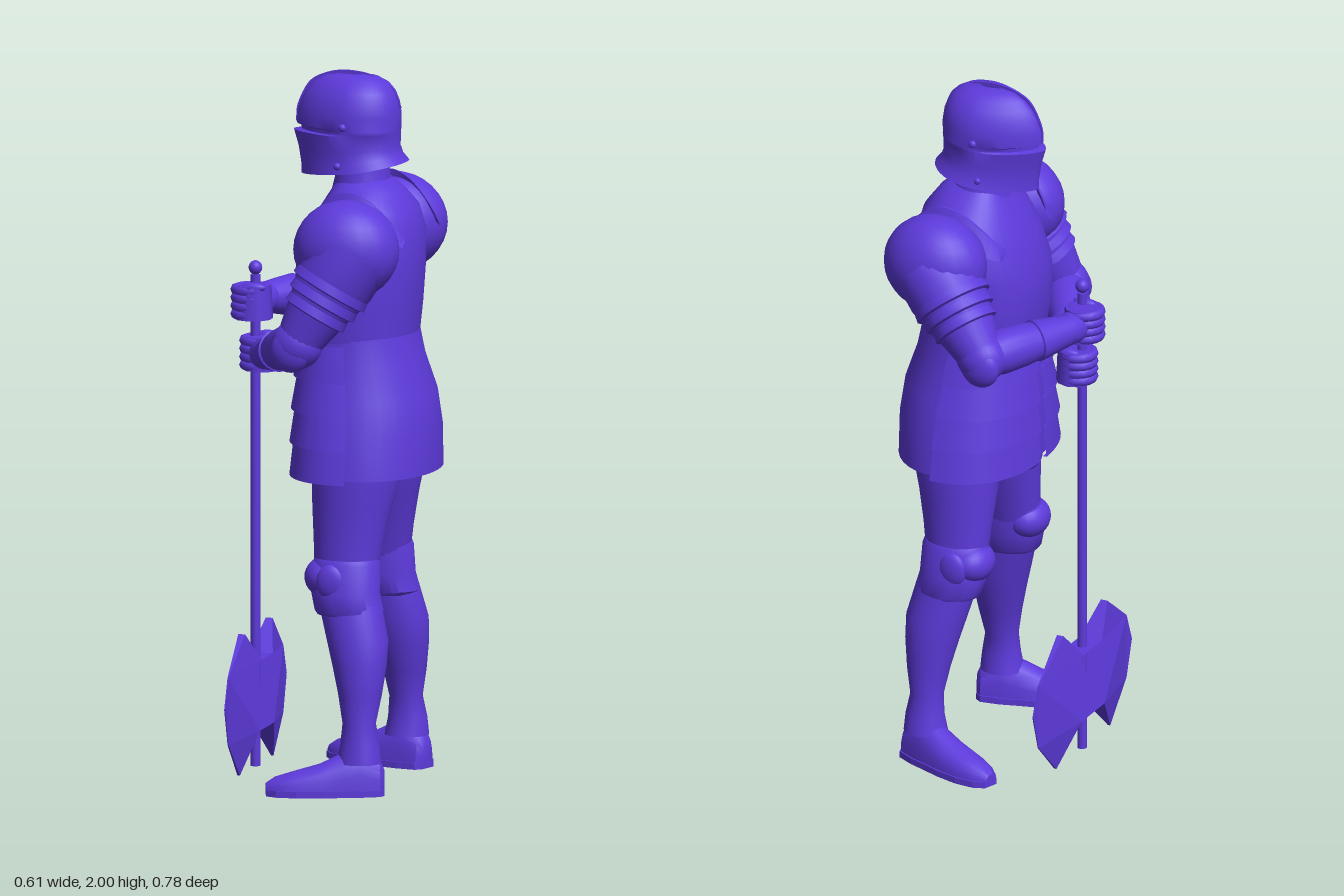
import * as THREE from 'three';
import { toCreasedNormals } from 'three/addons/utils/BufferGeometryUtils.js';

const V = (x, y, z) => new THREE.Vector3(x, y, z);

export function createModel() {
  const model = new THREE.Group();
  model.name = 'knight';
  const steel = new THREE.MeshStandardMaterial({ color: 0x5d3adb, side: THREE.DoubleSide });
  steel.name = 'violet steel';

  function add(name, geo, parent = model) {
    const m = new THREE.Mesh(geo, steel);
    m.name = name;
    parent.add(m);
    return m;
  }

  // Skin a list of rings (equal point counts), optionally closed and capped
  function loft(rings, { closed = true, cap = true, crease = 0.7 } = {}) {
    const n = rings[0].length, pos = [], idx = [];
    rings.forEach(r => r.forEach(p => pos.push(p.x, p.y, p.z)));
    for (let i = 0; i < rings.length - 1; i++) {
      for (let j = 0; j < (closed ? n : n - 1); j++) {
        const a = i * n + j, b = i * n + (j + 1) % n;
        idx.push(a, b, a + n, b, b + n, a + n);
      }
    }
    if (cap && closed) {
      [0, rings.length - 1].forEach((ri, end) => {
        const c = V(0, 0, 0);
        rings[ri].forEach(p => c.addScaledVector(p, 1 / n));
        const ci = pos.length / 3;
        pos.push(c.x, c.y, c.z);
        for (let j = 0; j < n; j++) {
          const a = ri * n + j, b = ri * n + (j + 1) % n;
          if (end) idx.push(a, b, ci); else idx.push(b, a, ci);
        }
      });
    }
    const g = new THREE.BufferGeometry();
    g.setAttribute('position', new THREE.Float32BufferAttribute(pos, 3));
    g.setIndex(idx);
    return toCreasedNormals(g, crease);
  }

  // Level ring from front x to back x with half width w; pw < 2 sharpens the front
  function ring([y, xf, xb, w, zc = 0, dip = 0], { pw = 2, mid = 0.5, a0 = 0, a1 = Math.PI * 2, n = 32, grow = 0 } = {}) {
    const full = a1 - a0 > 6.2, cx = xf + (xb - xf) * mid, pts = [];
    for (let j = 0; j < (full ? n : n + 1); j++) {
      const t = a0 + (a1 - a0) * j / n, c = Math.cos(t), s = Math.sin(t);
      const e = 2 / (c > 0 ? pw : 2.1);
      const u = Math.sign(c) * Math.abs(c) ** e, v = Math.sign(s) * Math.abs(s) ** e;
      const len = (c > 0 ? cx - xf : xb - cx) + grow;
      pts.push(V(cx - u * len, y + dip * (u - 1) / 2, zc + v * (w + grow)));
    }
    return pts;
  }
  const stack = (rows, o = {}, l = {}) => loft(rows.map(r => ring(r, o)), l);

  // Round limb along points [x, y, z, radius]
  function limb(pts, n = 20) {
    const P = pts.map(p => V(p[0], p[1], p[2]));
    return loft(P.map((p, i) => {
      const t = P[Math.min(i + 1, P.length - 1)].clone().sub(P[Math.max(i - 1, 0)]).normalize();
      const u = V(0, 1, 0.35).cross(t).normalize(), v = t.clone().cross(u);
      return Array.from({ length: n }, (_, j) => {
        const a = j / n * Math.PI * 2;
        return p.clone().addScaledVector(u, Math.cos(a) * pts[i][3]).addScaledVector(v, Math.sin(a) * pts[i][3]);
      });
    }));
  }

  function ball(name, c, r, parent = model) {
    const m = add(name, new THREE.SphereGeometry(1, 24, 16), parent);
    m.position.set(...c);
    m.scale.set(...r);
    return m;
  }

  // Torso and neck
  const round = { pw: 2.3, n: 40 };
  add('cuirass', stack([
    [1.26, -0.09, 0.235, 0.195, 0.01], [1.35, -0.105, 0.245, 0.2, 0.01], [1.45, -0.1, 0.252, 0.205, 0.01],
    [1.55, -0.07, 0.25, 0.2], [1.62, -0.035, 0.232, 0.17], [1.67, -0.005, 0.195, 0.11], [1.7, 0.01, 0.16, 0.075],
  ], round));
  add('gorget', stack([[1.64, -0.015, 0.17, 0.095], [1.7, 0, 0.155, 0.08], [1.76, 0, 0.15, 0.075]]));

  // Flared skirt, open below
  const skirtRows = [[0.885, -0.098, 0.3, 0.262, 0.015], [1.0, -0.1, 0.3, 0.248, 0.013], [1.1, -0.097, 0.286, 0.225, 0.01],
    [1.2, -0.09, 0.252, 0.2, 0.01], [1.275, -0.085, 0.236, 0.194, 0.01]];
  add('skirt', stack(skirtRows, round, { cap: false }));
  const skirtAt = y => {
    const i = Math.max(0, skirtRows.findIndex((r, k) => k < 4 && y <= skirtRows[k + 1][0]));
    const a = skirtRows[i], b = skirtRows[i + 1], f = (y - a[0]) / (b[0] - a[0]);
    return a.map((q, k) => q + (b[k] - q) * f);
  };
  // Overlapping tasset lames on both sides of the front
  for (const s of [-1, 1]) {
    for (let i = 0; i < 4; i++) {
      const y = 0.875 + i * 0.092;
      const arc = grow => ({ pw: 2.3, n: 18, a0: s > 0 ? 0.04 : -1.6, a1: s > 0 ? 1.6 : -0.04, grow });
      add('tassetLame', loft([ring(skirtAt(y), arc(0.001)), ring(skirtAt(y), arc(0.012)), ring(skirtAt(y + 0.1), arc(0.001))],
        { closed: false }));
    }
  }
  add('hips', stack([[0.84, 0.02, 0.17, 0.06, 0.02], [0.88, -0.02, 0.24, 0.15, 0.02], [0.96, -0.04, 0.25, 0.2, 0.015]]));
  ball('codpiece', [-0.055, 0.885, 0.015], [0.045, 0.05, 0.05]);

  // Helmet with pointed face, eye slit step and flared neck rim
  const helmet = new THREE.Group();
  helmet.name = 'helmet';
  model.add(helmet);
  add('helmetShell', stack([
    [1.705, -0.1, 0.207, 0.123, 0, -0.045], [1.73, -0.1, 0.19, 0.112, 0, -0.04], [1.78, -0.108, 0.183, 0.106, 0, -0.01],
    [1.828, -0.122, 0.184, 0.108], [1.832, -0.1, 0.184, 0.108], [1.842, -0.1, 0.185, 0.109], [1.846, -0.113, 0.185, 0.109],
    [1.88, -0.112, 0.186, 0.109], [1.915, -0.1, 0.181, 0.102], [1.945, -0.083, 0.17, 0.088], [1.968, -0.06, 0.152, 0.068],
    [1.985, -0.03, 0.122, 0.042], [1.991, 0.01, 0.08, 0.015],
  ], { pw: 1.55, mid: 0.58, n: 40 }, { cap: false }), helmet);
  const crest = new THREE.Shape();
  crest.moveTo(-0.115, 1.85);
  crest.splineThru([[-0.11, 1.9], [-0.075, 1.965], [-0.02, 1.993], [0.04, 2.0], [0.11, 1.988], [0.165, 1.955], [0.19, 1.9]]
    .map(p => new THREE.Vector2(...p)));
  crest.lineTo(0.1, 1.88);
  add('crest', new THREE.ExtrudeGeometry(crest, { depth: 0.006, bevelEnabled: false, curveSegments: 24 }).translate(0, 0, -0.003), helmet);
  for (const s of [-1, 1]) {
    ball('visorPivot', [0.05, 1.855, s * 0.11], [0.011, 0.011, 0.009], helmet);
    ball('helmetRivet', [0.035, 1.745, s * 0.11], [0.01, 0.01, 0.008], helmet);
  }

  // Legs, mirrored
  for (const s of [1, -1]) {
    const leg = new THREE.Group();
    leg.name = s > 0 ? 'rearwardLeg' : 'oppositeLeg';
    leg.name = s > 0 ? 'legA' : 'legB';
    leg.position.z = 0.022;
    leg.scale.z = s;
    model.add(leg);
    add('cuisse', stack([[0.6, -0.005, 0.17, 0.07, 0.162], [0.7, -0.012, 0.185, 0.081, 0.148], [0.8, -0.02, 0.205, 0.1, 0.132],
      [0.88, -0.025, 0.225, 0.115, 0.12], [0.95, -0.025, 0.23, 0.115, 0.118]]), leg);
    add('kneeBand', stack([[0.5, 0.008, 0.188, 0.073, 0.182], [0.51, 0.0, 0.195, 0.079, 0.18], [0.56, -0.012, 0.183, 0.078, 0.175],
      [0.64, -0.012, 0.181, 0.078, 0.163], [0.655, -0.005, 0.176, 0.073, 0.16]]), leg);
    ball('poleyn', [0.03, 0.6, 0.17], [0.062, 0.058, 0.072], leg);
    ball('kneeWing', [0.06, 0.595, 0.235], [0.042, 0.05, 0.02], leg);
    add('greave', stack([[0.09, 0.08, 0.205, 0.058, 0.235], [0.14, 0.09, 0.2, 0.05, 0.235], [0.2, 0.095, 0.188, 0.046, 0.23],
      [0.28, 0.08, 0.202, 0.06, 0.22], [0.36, 0.06, 0.212, 0.072, 0.208], [0.43, 0.04, 0.214, 0.077, 0.197],
      [0.53, 0.012, 0.19, 0.07, 0.182]]), leg);
    // Boot: flat sole, arched top, toes turned outwards
    const boot = new THREE.Group();
    boot.name = 'boot';
    boot.position.set(0.145, 0, 0.235);
    boot.rotation.y = 0.33;
    leg.add(boot);
    const foot = [[0.068, 0.024, 0.07], [0.055, 0.042, 0.1], [0.0, 0.052, 0.135], [-0.05, 0.054, 0.118], [-0.11, 0.058, 0.088],
      [-0.18, 0.055, 0.068], [-0.235, 0.04, 0.052], [-0.262, 0.018, 0.035]];
    add('sabaton', loft(foot.map(([x, w, h]) => Array.from({ length: 20 }, (_, j) => {
      const a = j / 20 * Math.PI * 2;
      return V(x, 0.01 + (h - 0.01) * Math.max(0, Math.sin(a)) ** 0.8, w * Math.cos(a));
    }))), boot);
    const sole = new THREE.Shape();
    sole.setFromPoints([...foot.map(([x, w]) => new THREE.Vector2(x, w + 0.004)),
      ...foot.map(([x, w]) => new THREE.Vector2(x, -w - 0.004)).reverse()]);
    add('sole', new THREE.ExtrudeGeometry(sole, { depth: 0.018, bevelEnabled: false }).rotateX(-Math.PI / 2), boot);
  }

  // Arms: [shoulder, elbow, wrist, hand] for each side
  const arms = [
    { s: 1, sh: V(0.12, 1.53, 0.25), el: V(-0.02, 1.275, 0.318), wr: V(-0.17, 1.2, 0.085), ha: V(-0.212, 1.19, 0.01) },
    { s: -1, sh: V(0.1, 1.53, -0.25), el: V(-0.085, 1.315, -0.318), wr: V(-0.225, 1.33, -0.085), ha: V(-0.242, 1.33, -0.005) },
  ];
  for (const { s, sh, el, wr, ha } of arms) {
    const arm = new THREE.Group();
    arm.name = s > 0 ? 'lowerGripArm' : 'upperGripArm';
    model.add(arm);
    const seg = (name, A, B, list) => add(name, limb(list.map(([t, r]) => [...A.clone().lerp(B, t).toArray(), r])), arm);
    ball('pauldron', [0.1, 1.535, s * 0.238], [0.15, 0.14, 0.122], arm);
    // Stepped lames down the upper arm
    seg('upperArm', sh, el, [[0, 0.115], [0.3, 0.113], [0.6, 0.09], [1, 0.062]]);
    for (let i = 0; i < 3; i++) {
      const t = 0.3 + i * 0.13, r = 0.113 - i * 0.01;
      seg('armLame', sh, el, [[t, r - 0.004], [t + 0.12, r + 0.001], [t + 0.14, r - 0.015]]);
    }
    ball('elbowCop', el.toArray(), [0.072, 0.07, 0.066], arm);
    ball('elbowWing', [el.x - 0.01, el.y - 0.015, el.z + s * 0.03], [0.058, 0.06, 0.034], arm);
    seg('vambrace', el, wr, [[0.05, 0.058], [0.22, 0.064], [0.5, 0.06], [0.85, 0.046], [1, 0.044]]);
    seg('gauntletCuff', el, wr, [[0.62, 0.05], [0.64, 0.06], [0.86, 0.051], [1.06, 0.042]]);
    // Fist closed around the shaft
    seg('wrist', wr, ha, [[-0.1, 0.043], [0.5, 0.046], [1, 0.04]]);
    const fist = add('fist', new THREE.CylinderGeometry(0.046, 0.05, 0.095, 10), arm);
    fist.position.copy(ha);
    fist.scale.set(1.1, 1, 1.15);
    for (let i = 0; i < 4; i++) {
      const f = add('finger', new THREE.TorusGeometry(0.042, 0.0145, 8, 16), arm);
      f.rotation.x = Math.PI / 2;
      f.position.set(ha.x - 0.008, ha.y - 0.034 + i * 0.023, ha.z);
    }
    ball('thumb', [ha.x + 0.01, ha.y + 0.045, ha.z - s * 0.03], [0.035, 0.014, 0.016], arm);
    // Raised guard along the inner edge of the shoulder
    const guard = [];
    for (let i = 0; i <= 20; i++) {
      const t = i / 20, k = Math.sin(Math.PI * t);
      const x = -0.065 + 0.315 * t, z = 0.135 + 0.055 * k ** 0.7 + 0.025 * t, lo = 1.54 + 0.05 * k, hi = 1.56 + 0.13 * k;
      guard.push([V(x, lo, s * (z + 0.016)), V(x, hi, s * (z - 0.008)), V(x, hi, s * z), V(x, lo, s * (z + 0.028))]);
    }
    add('shoulderGuard', loft(guard), arm);
  }

  // Double-bladed axe standing head down
  const axe = new THREE.Group();
  axe.name = 'axe';
  axe.position.set(-0.23, 0, 0.014);
  model.add(axe);
  add('shaft', new THREE.CylinderGeometry(0.014, 0.014, 1.39, 14).translate(0, 0.715, 0), axe);
  ball('pommel', [0, 1.43, 0], [0.019, 0.02, 0.019], axe);
  const half = [[0.055, 0.33], [0.135, 0.415], [0.27, 0.315], [0.303, 0.23], [0.27, 0.125], [0.165, 0.02], [0.07, 0.132]];
  const outline = [...half, ...half.map(([z, y]) => [-z, y]).reverse()].map(p => new THREE.Vector2(...p));
  const blade = new THREE.ExtrudeGeometry(new THREE.Shape(outline), { depth: 1, bevelEnabled: false }).translate(0, 0, -0.5);
  // Thin the head towards its cutting edges
  const bp = blade.attributes.position;
  for (let i = 0; i < bp.count; i++) {
    const r = Math.hypot(bp.getX(i), bp.getY(i) - 0.225);
    bp.setZ(i, Math.sign(bp.getZ(i)) * 0.034 * Math.max(0.04, Math.min(1, 1 - (r - 0.12) / 0.16)));
  }
  blade.rotateY(Math.PI / 2);
  blade.computeVertexNormals();
  add('axeHead', blade, axe);

  return model;
}
